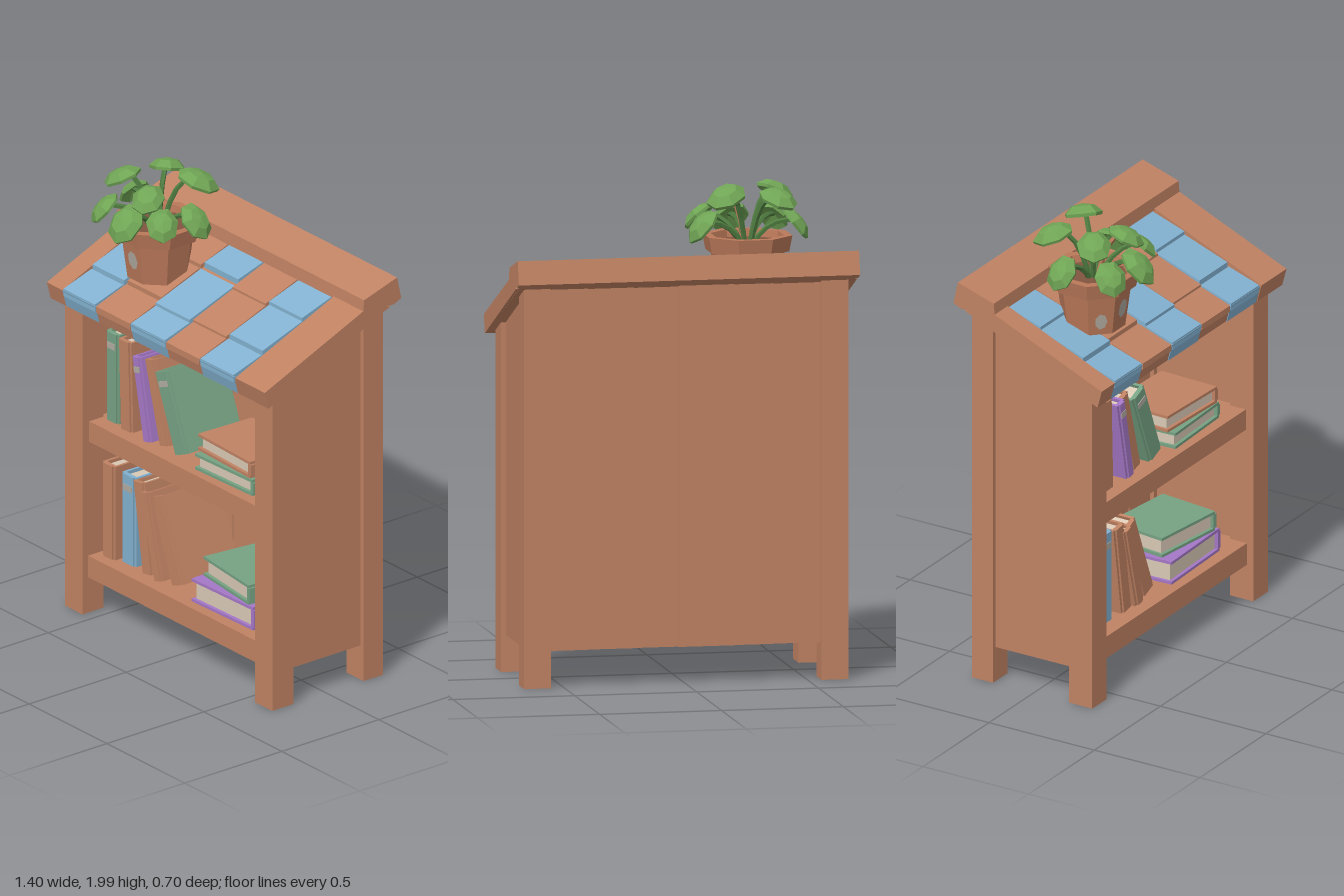
import * as THREE from 'three';

const mat = (name, color) => {
  const m = new THREE.MeshStandardMaterial({ color, flatShading: true });
  m.name = name;
  return m;
};

export function createModel() {
  const root = new THREE.Group();
  root.name = 'bookcase';
  const wood = mat('wood', 0xc08263), clay = mat('clay', 0xba7859), blue = mat('blue', 0x82b1d0);
  const leafGreen = mat('leafGreen', 0x70a555), stemGreen = mat('stemGreen', 0x4f7c40);
  const bookGreen = mat('bookGreen', 0x76a283), purple = mat('purple', 0xa577c6);
  const paper = mat('paper', 0xd9c9b5), label = mat('label', 0xb0aaa0), soil = mat('soil', 0x80553f);

  const add = (name, geo, material, parent = root) => {
    const m = new THREE.Mesh(geo, material);
    m.name = name;
    parent.add(m);
    return m;
  };
  // box given by its limits on each axis
  const box = (name, m, x0, x1, y0, y1, z0, z1, parent = root) => {
    const g = new THREE.BoxGeometry(x1 - x0, y1 - y0, z1 - z0);
    g.translate((x0 + x1) / 2, (y0 + y1) / 2, (z0 + z1) / 2);
    return add(name, g, m, parent);
  };
  // side profile of [z, y] points swept along x
  const sweep = (name, m, x0, x1, pts) => {
    const s = new THREE.Shape(pts.map(p => new THREE.Vector2(p[0], p[1])));
    const g = new THREE.ExtrudeGeometry(s, { depth: x1 - x0, bevelEnabled: false });
    g.rotateY(-Math.PI / 2);
    g.translate(x1, 0, 0);
    return add(name, g, m);
  };

  // corner posts and side walls
  for (const s of [-1, 1]) {
    const a = s < 0 ? -0.665 : 0.555, w = s < 0 ? -0.645 : 0.575;
    box('frontPost', wood, a, a + 0.11, 0, 1.42, 0.17, 0.28);
    box('backPost', wood, a, a + 0.11, 0, 1.63, -0.29, -0.19);
    sweep('sideWall', wood, w, w + 0.07, [[0.25, 0.15], [0.25, 1.4], [-0.26, 1.625], [-0.26, 0.15]]);
  }

  // back wall of uneven planks
  const cuts = [-0.56, -0.36, -0.2, 0.03, 0.21, 0.4, 0.56];
  for (let i = 0; i < 6; i++) {
    const z = -0.268 - (i % 3) * 0.005;
    box('backPlank', wood, cuts[i], cuts[i + 1], 0.15, 1.62, z, -0.215 + (i % 2) * 0.006);
  }

  // shelves
  box('bottomShelf', wood, -0.58, 0.58, 0.155, 0.25, -0.25, 0.25);
  box('middleShelf', wood, -0.58, 0.58, 0.75, 0.84, -0.25, 0.245);

  // sloping roof, raised end boards and ridge beam
  const roofY = z => 1.43 + 0.43 * (0.345 - z);
  sweep('roof', wood, -0.69, 0.69, [[0.325, 1.357], [0.34, 1.415], [-0.3, 1.69], [-0.35, 1.65]]);
  for (const x of [-0.7, 0.5]) {
    sweep('roofEnd', wood, x + (x < 0 ? 0 : 0.01), x + (x < 0 ? 0.1 : 0.2),
      [[0.327, 1.355], [0.347, 1.43], [-0.2, roofY(-0.2)], [-0.3, 1.63]]);
  }
  sweep('ridgeBeam', wood, -0.7, 0.7,
    [[-0.16, 1.64], [-0.165, 1.695], [-0.335, 1.748], [-0.356, 1.652], [-0.32, 1.635]]);

  // shingles in five columns and three overlapping rows
  const columns = [[-0.6, -0.39], [-0.39, -0.165], [-0.165, 0.06], [0.06, 0.28], [0.28, 0.5]];
  const rows = [[0.345, 0.2], [0.2, -0.015], [-0.015, -0.17]];
  columns.forEach(([x0, x1], c) => {
    const m = c % 2 ? wood : blue;
    rows.forEach(([z0, z1], r) => {
      const shift = r ? (((c * 7 + r * 5) % 4) - 1.5) * 0.012 : 0;
      const rise = c % 2 ? 0.002 : 0.007;
      sweep('shingle', m, x0 + 0.004, x1 - 0.004, [
        [z0 + shift, roofY(z0 + shift) - 0.025], [z0 + shift, roofY(z0 + shift) + rise],
        [z1, roofY(z1) - 0.008], [z1, roofY(z1) - 0.035]]);
    });
    if (m === blue) {
      sweep('frontStripe', blue, x0, x1, [[0.327, 1.355], [0.347, 1.43], [0.34, 1.43], [0.32, 1.357]]);
    }
  });

  // book with its spine facing +z, origin at the bottom left of the spine
  const book = (m, t, h, d, tag) => {
    const g = new THREE.Group(), c = 0.012;
    g.name = 'book';
    box('cover', m, 0, c, 0, h, -d, 0, g);
    box('cover', m, t - c, t, 0, h, -d, 0, g);
    box('spine', m, c, t - c, 0, h, -c, 0.008, g);
    box('pages', paper, c, t - c, 0.012, h - 0.015, -d + 0.012, -c, g);
    if (tag) box('spineLabel', label, t * 0.2, t * 0.8, h * 0.82, h * 0.89, 0.007, 0.011, g);
    root.add(g);
    return g;
  };
  // standing books: material, left, shelf height, thickness, height, lean, label
  [
    [bookGreen, -0.535, 0.84, 0.08, 0.39, 0, 1],
    [wood, -0.43, 0.84, 0.08, 0.39, 0.03, 0],
    [purple, -0.27, 0.84, 0.057, 0.355, 0.2, 1],
    [wood, -0.195, 0.84, 0.07, 0.36, 0.27, 0],
    [bookGreen, -0.08, 0.84, 0.095, 0.345, 0.385, 1],
    [wood, -0.53, 0.25, 0.08, 0.41, 0, 0],
    [blue, -0.435, 0.25, 0.09, 0.39, 0, 1],
    [wood, -0.29, 0.25, 0.075, 0.39, 0.15, 0],
    [wood, -0.2, 0.25, 0.06, 0.37, 0.25, 0],
    [wood, -0.115, 0.25, 0.09, 0.37, 0.38, 0],
  ].forEach(([m, x, y, t, h, lean, tag], i) => {
    const b = book(m, t, h, 0.28, tag);
    b.position.set(x, y, 0.17 + (i % 3) * 0.012);
    b.rotation.z = lean;
  });
  // stacked books: material, right edge, y, thickness, width, turn
  const flat = new THREE.Matrix4().makeBasis(
    new THREE.Vector3(0, 1, 0), new THREE.Vector3(0, 0, 1), new THREE.Vector3(1, 0, 0));
  [
    [bookGreen, 0.425, 0.84, 0.07, 0.35, 0.04],
    [wood, 0.42, 0.912, 0.072, 0.35, -0.04],
    [purple, 0.43, 0.25, 0.1, 0.38, 0.03],
    [bookGreen, 0.42, 0.352, 0.085, 0.34, -0.12],
  ].forEach(([m, x, y, t, w, turn]) => {
    const b = book(m, t, 0.27, w, 0), stack = new THREE.Group();
    stack.name = 'stackedBook';
    b.quaternion.setFromRotationMatrix(flat);
    b.position.z = -0.135;
    stack.add(b);
    stack.position.set(x, y, 0.06);
    stack.rotation.y = turn;
    root.add(stack);
  });

  // flower pot
  const plant = new THREE.Group();
  plant.name = 'pottedPlant';
  plant.position.set(-0.325, 0, 0.075);
  root.add(plant);
  const lathe = (pts, n) => new THREE.LatheGeometry(pts.map(p => new THREE.Vector2(...p)), n);
  const pot = add('pot', lathe([[0, 1.525], [0.128, 1.525], [0.152, 1.705], [0.172, 1.7], [0.185, 1.765],
    [0.15, 1.765], [0.14, 1.72]], 8), clay, plant);
  pot.rotation.y = Math.PI / 8;
  add('soil', new THREE.CylinderGeometry(0.145, 0.145, 0.01, 8).translate(0, 1.73, 0), soil, plant)
    .rotation.y = Math.PI / 8;
  // pale worn patches on the pot
  for (const [turn, x, y, r] of [[0, 0.005, 1.62, 0.03], [-Math.PI / 4, 0, 1.585, 0.026]]) {
    const side = new THREE.Group();
    side.name = 'wornPatch';
    side.rotation.y = turn;
    plant.add(side);
    const p = add('patch', new THREE.CircleGeometry(r, 7), label, side);
    p.scale.y = 1.4;
    p.position.set(x, y, (0.128 + (y - 1.525) * 0.133) * Math.cos(Math.PI / 8) + 0.004);
    p.rotation.x = 0.13;
  }

  // leaves on bent stems: x, y, z, radius, outward tilt
  const leafGeo = lathe([[0, -0.05], [0.95, -0.38], [1, -0.22], [0.6, 0.14], [0, 0.25]], 7);
  [
    [-0.43, 1.94, -0.06, 0.078, 0.35], [-0.21, 1.955, -0.05, 0.083, 0.4],
    [-0.46, 1.945, 0.16, 0.075, 0.45], [-0.25, 1.92, 0.19, 0.072, 0.45],
    [-0.53, 1.82, 0.04, 0.07, 0.9], [-0.12, 1.82, 0.03, 0.075, 0.85],
    [-0.14, 1.84, 0.2, 0.07, 0.75], [-0.47, 1.82, 0.25, 0.07, 0.85],
    [-0.29, 1.82, 0.28, 0.082, 0.8],
  ].forEach(([wx, y, wz, r, tilt], i) => {
    const x = wx + 0.325, z = wz - 0.075;
    const curve = new THREE.QuadraticBezierCurve3(new THREE.Vector3(x * 0.1, 1.72, z * 0.1),
      new THREE.Vector3(x * 0.4, y + 0.02, z * 0.4), new THREE.Vector3(x, y, z));
    add('stem', new THREE.TubeGeometry(curve, 5, 0.011, 5), i === 3 ? clay : stemGreen, plant);
    const leaf = add('leaf', leafGeo, leafGreen, plant);
    leaf.position.set(x, y, z);
    leaf.rotation.order = 'YXZ';
    leaf.rotation.set(tilt, Math.atan2(x, z), 0);
    leaf.scale.set(r * 0.95, r, r * 1.12);
  });

  return root;
}
